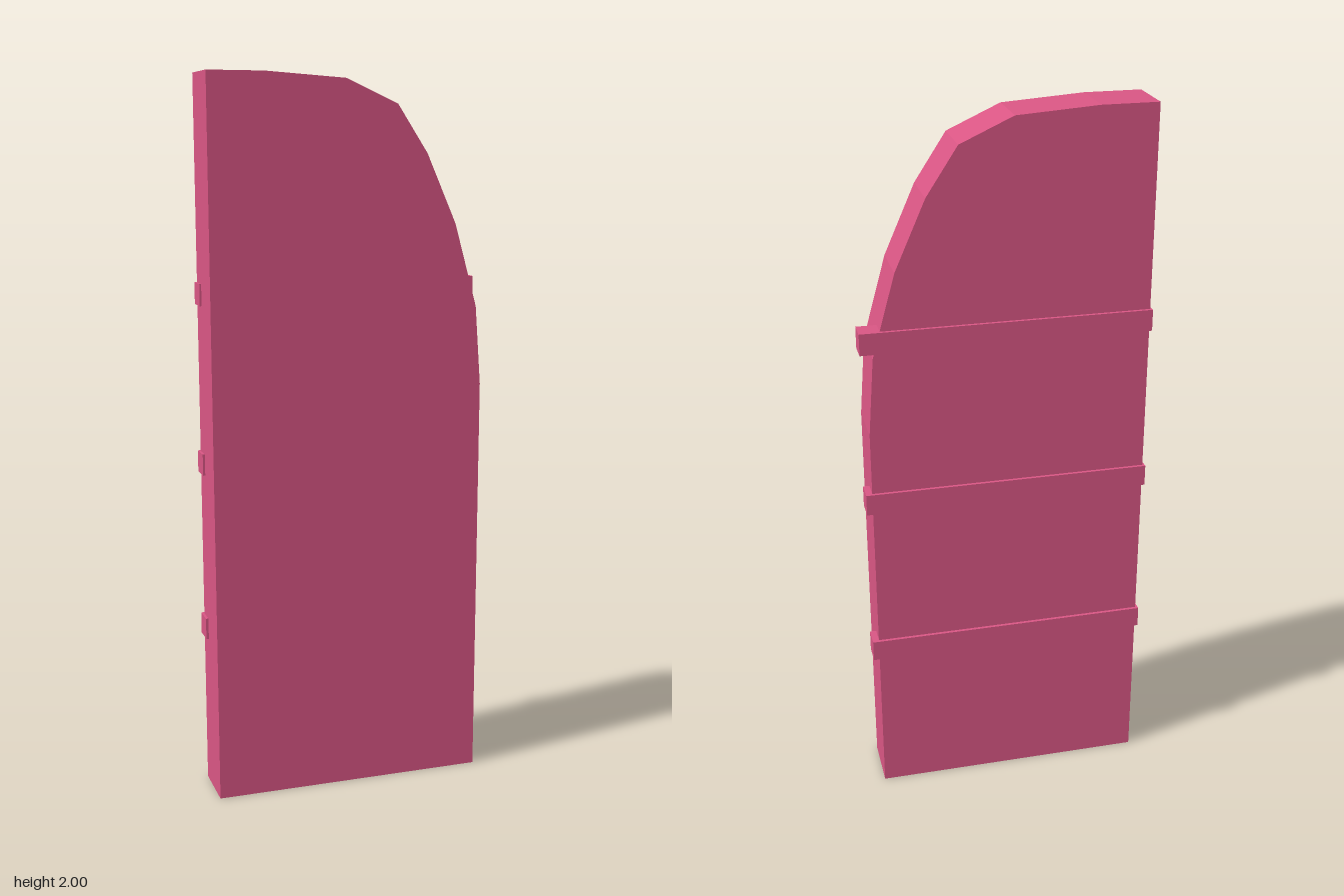
import * as THREE from 'three';

export function createModel() {
  const model = new THREE.Group();
  const material = new THREE.MeshStandardMaterial({ color: 0xd95684, flatShading: true });

  // Door leaf: straight hinge edge, faceted half-arch on the other side
  const outline = [
    [-0.392, 0], [0.382, 0], [0.382, 1.15], [0.365, 1.37], [0.3, 1.6],
    [0.215, 1.79], [0.129, 1.92], [-0.016, 1.985], [-0.24, 2], [-0.396, 2],
  ];
  const shape = new THREE.Shape(outline.map(([x, y]) => new THREE.Vector2(x, y)));
  const back = -0.074, front = 0.082;
  const leafGeometry = new THREE.ExtrudeGeometry(shape, { depth: front - back, bevelEnabled: false });
  leafGeometry.translate(0, 0, back);
  const leaf = new THREE.Mesh(leafGeometry, material);
  leaf.name = 'doorLeaf';
  model.add(leaf);

  // Horizontal battens let into the back, slightly proud on both edges
  const battenGeometry = new THREE.BoxGeometry(0.8, 0.06, 0.06);
  [0.47, 0.945, 1.415].forEach((y, i) => {
    const batten = new THREE.Mesh(battenGeometry, material);
    batten.name = `batten${i + 1}`;
    batten.position.set(0, y, -0.053);
    model.add(batten);
  });

  return model;
}
